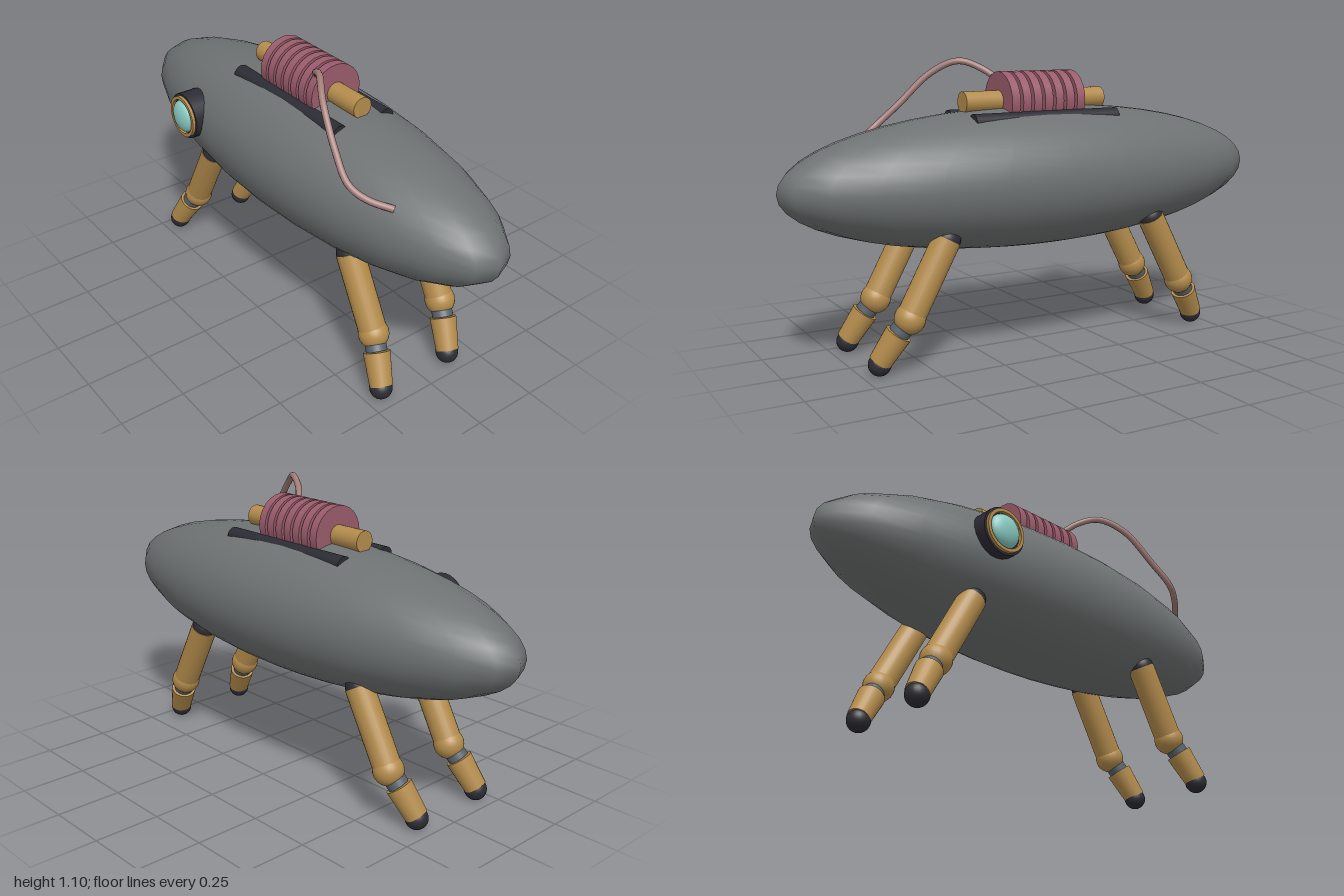
import * as THREE from 'three';

const V = (x, y, z) => new THREE.Vector3(x, y, z);
const UP = V(0, 1, 0);

function paint(name, color) {
  const m = new THREE.MeshStandardMaterial({ color });
  m.name = name;
  return m;
}

export function createModel() {
  const hull = paint('hullGrey', 0x6e7272);
  const brass = paint('brass', 0xb48c4c);
  const coilRed = paint('coilRed', 0x9a5c6c);
  const wirePink = paint('wirePink', 0xa27c78);
  const dark = paint('darkRubber', 0x2c2c34);
  const steel = paint('steel', 0x56626c);
  const glass = paint('aquaGlass', 0x8accc4);

  const model = new THREE.Group();
  model.name = 'walkingPod';
  const midZ = -0.017;

  function add(parent, name, geometry, material, x = 0, y = 0, z = 0) {
    const mesh = new THREE.Mesh(geometry, material);
    mesh.name = name;
    mesh.position.set(x, y, z);
    parent.add(mesh);
    return mesh;
  }

  // Cylinder or cone running from point a to point b
  function limb(parent, name, a, b, ra, rb, material) {
    const dir = b.clone().sub(a);
    const mesh = add(parent, name, new THREE.CylinderGeometry(rb, ra, dir.length(), 24), material);
    mesh.position.copy(a).add(b).multiplyScalar(0.5);
    mesh.quaternion.setFromUnitVectors(UP, dir.normalize());
    return mesh;
  }

  // Long ellipsoid hull
  const body = add(model, 'body', new THREE.SphereGeometry(1, 24, 24), hull, 0, 0.655, midZ);
  body.scale.set(1, 0.265, 0.302);

  // Coil: brass core with a row of discs
  const coil = new THREE.Group();
  coil.name = 'coil';
  model.add(coil);
  limb(coil, 'coilCore', V(-0.3, 0.94, midZ), V(0.297, 0.94, midZ), 0.04, 0.04, brass);
  for (let i = 0; i < 7; i++) {
    const x = -0.149 + i * 0.0465;
    limb(coil, 'coilDisc', V(x - 0.017, 0.94, midZ), V(x + 0.017, 0.94, midZ), 0.11, 0.11, coilRed);
  }

  // Rails half sunk into the hull on both sides of the coil
  for (const s of [-1, 1]) {
    const z = midZ + s * 0.105;
    limb(model, 'coilRail', V(-0.305, 0.873, z), V(0.305, 0.873, z), 0.033, 0.033, dark);
  }

  // Loose wire from the coil to the hull
  const wirePath = new THREE.CatmullRomCurve3([
    V(0.1, 1.0, 0.03), V(0.16, 1.055, 0.085), V(0.24, 1.085, 0.13), V(0.33, 1.04, 0.185),
    V(0.45, 0.92, 0.225), V(0.54, 0.84, 0.24), V(0.6, 0.802, 0.21), V(0.67, 0.778, 0.152),
  ]);
  add(model, 'wire', new THREE.TubeGeometry(wirePath, 48, 0.0125, 10), wirePink);

  // Round eye window
  const eye = new THREE.Group();
  eye.name = 'eyeWindow';
  eye.position.set(-0.42, 0.7, 0);
  model.add(eye);
  limb(eye, 'eyeHousing', V(0, 0, 0.15), V(0, 0, 0.288), 0.092, 0.092, dark);
  const rim = new THREE.Shape().absarc(0, 0, 0.083, 0, Math.PI * 2);
  rim.holes.push(new THREE.Path().absarc(0, 0, 0.07, 0, Math.PI * 2, true));
  add(eye, 'eyeRim', new THREE.ExtrudeGeometry(rim, { depth: 0.012, bevelEnabled: false, curveSegments: 24 }),
    brass, 0, 0, 0.288);
  const lens = add(eye, 'eyeLens', new THREE.SphereGeometry(0.065, 24, 16), glass, 0, 0, 0.288);
  lens.scale.z = 0.5;

  // Four legs: splayed outward in x, feet all stepping forward
  for (const side of [-1, 1]) {
    for (const [place, z] of [['front', 0.145], ['rear', -0.178]]) {
      const leg = new THREE.Group();
      leg.name = place + (side > 0 ? 'LeftLeg' : 'RightLeg');
      leg.position.z = z;
      model.add(leg);
      const P = (x, y, dz) => V(side * x, y, dz);
      const hip = P(0.442, 0.475, 0);
      const knee = P(0.588, 0.205, 0.002);
      const shinTop = P(0.626, 0.153, 0.017);
      const shinEnd = P(0.688, 0.05, 0.044);
      add(leg, 'hipJoint', new THREE.SphereGeometry(0.05, 24, 16), dark, hip.x, hip.y, hip.z);
      limb(leg, 'thigh', hip, knee, 0.052, 0.052, brass);
      add(leg, 'knee', new THREE.SphereGeometry(0.057, 24, 16), brass, knee.x, knee.y, knee.z);
      limb(leg, 'shinJoint', knee, shinTop, 0.039, 0.039, steel);
      limb(leg, 'shin', shinTop, shinEnd, 0.05, 0.042, brass);
      add(leg, 'foot', new THREE.SphereGeometry(0.042, 24, 16), dark, shinEnd.x, shinEnd.y - 0.008, shinEnd.z + 0.001);
    }
  }

  return model;
}
